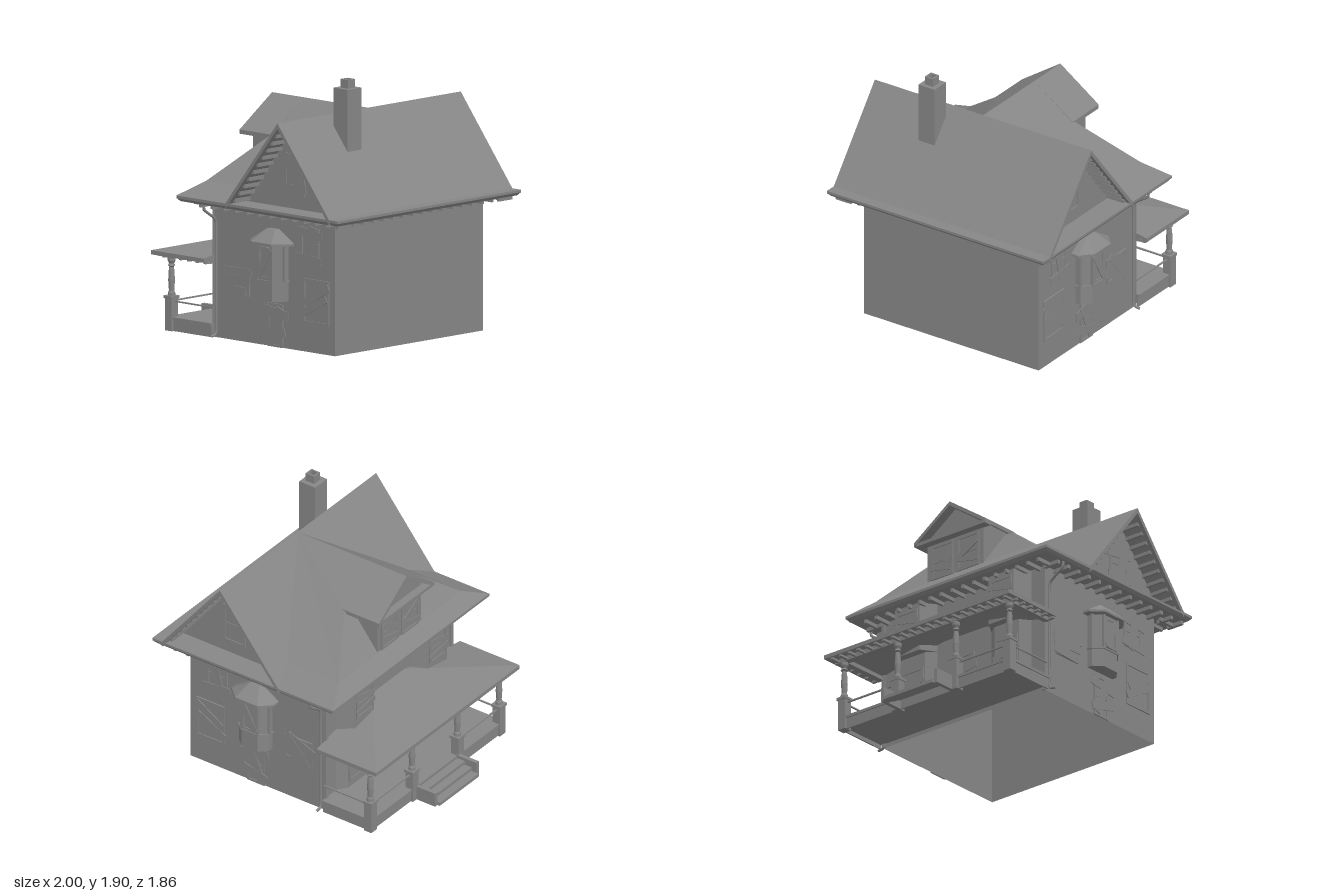
import * as THREE from 'three';
import { ConvexGeometry } from 'three/addons/geometries/ConvexGeometry.js';

const grey = new THREE.MeshStandardMaterial({ color: 0x868686, flatShading: true, side: THREE.DoubleSide });
const smooth = new THREE.MeshStandardMaterial({ color: 0x868686 });

function add(parent, name, geo, mat = grey) {
  const m = new THREE.Mesh(geo, mat);
  m.name = name;
  parent.add(m);
  return m;
}

// Box given by its limits on each axis
function box(parent, name, x0, x1, y0, y1, z0, z1) {
  const m = add(parent, name, new THREE.BoxGeometry(Math.abs(x1 - x0), Math.abs(y1 - y0), Math.abs(z1 - z0)));
  m.position.set((x0 + x1) / 2, (y0 + y1) / 2, (z0 + z1) / 2);
  return m;
}

// Roof panel: a top polygon, fanned from its first corner and thickened downwards
function slab(parent, name, pts, t = 0.03) {
  const v = pts.map(p => new THREE.Vector3(...p));
  const n = v[1].clone().sub(v[0]).cross(v[2].clone().sub(v[0]));
  if (n.y < 0) v.reverse().unshift(v.pop());
  const pos = [];
  const tri = (...ps) => ps.forEach(p => pos.push(p.x, p.y, p.z));
  const low = v.map(p => new THREE.Vector3(p.x, p.y - t, p.z));
  v.forEach((p, i) => {
    const j = (i + 1) % v.length;
    if (i > 0 && j > 0) {
      tri(v[0], p, v[j]);
      tri(low[0], low[j], low[i]);
    }
    tri(p, low[i], low[j]);
    tri(p, low[j], v[j]);
  });
  const g = new THREE.BufferGeometry();
  g.setAttribute('position', new THREE.Float32BufferAttribute(pos, 3));
  g.computeVertexNormals();
  return add(parent, name, g);
}

const hull = (parent, name, pts) =>
  add(parent, name, new ConvexGeometry(pts.map(p => new THREE.Vector3(...p))));

// Upright prism over a plan outline of [x, z] points
function prism(parent, name, plan, y0, y1) {
  const s = new THREE.Shape(plan.map(([x, z]) => new THREE.Vector2(x, -z)));
  const g = new THREE.ExtrudeGeometry(s, { depth: y1 - y0, bevelEnabled: false });
  return add(parent, name, g.rotateX(-Math.PI / 2).translate(0, y0, 0));
}

// Framed window facing local +z, with tilted planks [x, y, w, h, angle]
function windowUnit(parent, name, w, h, planks, pos, turn) {
  const g = new THREE.Group();
  g.name = name;
  const b = 0.018;
  box(g, 'pane', -w / 2, w / 2, -h / 2, h / 2, 0, 0.003);
  for (const s of [-1, 1]) {
    box(g, 'frameSide', s * w / 2, s * (w / 2 - b), -h / 2, h / 2, 0, 0.01);
    box(g, 'frameRail', -w / 2, w / 2, s * h / 2, s * (h / 2 - b), 0, 0.01);
  }
  box(g, 'crossBar', -w / 2, w / 2, -0.007, 0.007, 0, 0.008);
  planks.forEach(([x, y, pw, ph, a], i) => {
    const p = add(g, 'plank', new THREE.BoxGeometry(pw, ph, 0.006));
    p.position.set(x, y, 0.011 + i * 0.002);
    p.rotation.z = a;
  });
  g.position.set(...pos);
  g.rotation.y = turn;
  parent.add(g);
}

function buildRoof(house) {
  const roof = new THREE.Group();
  roof.name = 'roof';
  house.add(roof);
  // Eave all round, with a slightly raked fascia
  const eave = [];
  for (const s of [-1, 1]) {
    for (const y of [0.99, 1.008]) eave.push([-0.58, y, s * 0.93], [1, y, s * 0.93]);
    eave.push([-0.555, 0.968, s * 0.912], [0.98, 0.968, s * 0.912]);
  }
  hull(roof, 'eave', eave);
  // Main gable
  for (const [x, n] of [[0.915, 'rightSlope'], [-0.1, 'leftSlope']])
    slab(roof, n, [[0.41, 1.64, -0.93], [0.41, 1.64, 0.93], [x, 1.008, 0.93], [x, 1.008, -0.93]], 0.04);
  const attic = new THREE.Shape([[-0.085, 1], [0.905, 1], [0.41, 1.615]].map(p => new THREE.Vector2(...p)));
  add(roof, 'gableWalls', new THREE.ExtrudeGeometry(attic, { depth: 1.5, bevelEnabled: false }).translate(0, 0, -0.75));
  // Cross roof with flared foot
  for (const s of [-1, 1]) {
    slab(roof, 'dormerRoof', [[-0.54, 1.637, 0], [-0.22, 1.637, 0], [-0.22, 1.41, s * 0.33], [-0.54, 1.41, s * 0.33]]);
    slab(roof, 'crossSlope', [[0.41, 1.637, 0], [-0.03, 1.1, s * 0.73], [-0.48, 1.1, s * 0.73],
      [-0.24, 1.405, s * 0.33], [-0.24, 1.637, 0]]);
    slab(roof, 'crossFlare', [[-0.03, 1.1, s * 0.73], [-0.09, 1.008, s * 0.93], [-0.58, 1.008, s * 0.93], [-0.48, 1.1, s * 0.73]], 0.02);
  }
  slab(roof, 'hipSlope', [[-0.24, 1.405, -0.33], [-0.24, 1.405, 0.33], [-0.48, 1.1, 0.73], [-0.48, 1.1, -0.73]]);
  slab(roof, 'hipFlare', [[-0.48, 1.1, -0.73], [-0.48, 1.1, 0.73], [-0.58, 1.008, 0.93], [-0.58, 1.008, -0.93]], 0.02);
  // Dormer
  const d = [];
  for (const x of [-0.475, -0.2]) d.push([x, 1.04, -0.26], [x, 1.04, 0.26], [x, 1.42, -0.26], [x, 1.42, 0.26], [x, 1.6, 0]);
  hull(roof, 'dormerWalls', d);
  box(roof, 'dormerCornice', -0.535, -0.47, 1.38, 1.405, -0.32, 0.32);
  for (const s of [-1, 1])
    windowUnit(roof, 'dormerWindow', 0.2, 0.26, [[0, 0.02, 0.19, 0.04, 0.5 * s], [0, -0.06, 0.2, 0.035, -0.2]], [-0.475, 1.235, s * 0.12], -Math.PI / 2);
  // Rafter tails under the eaves
  for (const s of [-1, 1])
    for (let i = 0; i < 13; i++) {
      const x = -0.39 + i * 0.1115;
      box(roof, 'rafterTail', x - 0.012, x + 0.012, 0.94, 0.97, s * 0.75, s * 0.885);
    }
  for (let i = 0; i < 17; i++) {
    const z = -0.8 + i * 0.1;
    box(roof, 'rafterTail', 0.8, 0.945, 0.94, 0.97, z - 0.01, z + 0.01);
    box(roof, 'rafterTail', -0.52, -0.38, 0.94, 0.97, z - 0.01, z + 0.01);
  }
  // Blocks under the gable rakes
  for (const s of [-1, 1]) for (const side of [-1, 1])
    for (let i = 1; i < 11; i++) {
      const x = i * 0.045, y = 1.64 - x * 1.25 - 0.046;
      box(roof, 'rakeBlock', 0.41 + side * x - 0.011, 0.41 + side * x + 0.011, y - 0.013, y + 0.013, s * 0.75, s * 0.9);
    }
  // Chimney with open flue
  box(roof, 'chimney', 0.465, 0.605, 1.3, 1.84, 0.28, 0.42);
  const flue = new THREE.Shape([[0.5, -0.315], [0.575, -0.315], [0.575, -0.385], [0.5, -0.385]].map(p => new THREE.Vector2(...p)));
  flue.holes.push(new THREE.Path([[0.512, -0.327], [0.512, -0.373], [0.563, -0.373], [0.563, -0.327]].map(p => new THREE.Vector2(...p))));
  add(roof, 'flue', new THREE.ExtrudeGeometry(flue, { depth: 0.062, bevelEnabled: false }).rotateX(-Math.PI / 2).translate(0, 1.84, 0));
}

// Oriel, boarded windows and downspout of one gable side
function buildGableSide(house, s) {
  const g = new THREE.Group();
  g.name = s > 0 ? 'frontWall' : 'backWall';
  house.add(g);
  const ring = [[0.08, 0.75], [0.08, 0.79], [0.14, 0.85], [0.28, 0.85], [0.345, 0.79], [0.345, 0.75]].map(([x, z]) => [x, s * z]);
  prism(g, 'orielBody', ring, 0.34, 0.75);
  for (const [x, z] of ring.slice(1, 5)) box(g, 'orielPost', x - 0.01, x + 0.01, 0.48, 0.74, z - 0.01, z + 0.01);
  const wide = k => ring.map(([x, z]) => [0.2125 + (x - 0.2125) * k, s * (0.75 + (s * z - 0.75) * k)]);
  prism(g, 'orielSill', wide(1.08), 0.475, 0.487);
  hull(g, 'orielRoof', [...wide(1.4).flatMap(([x, z]) => [[x, 0.74, z], [x, 0.757, z]]), [0.17, 0.845, s * 0.75],
    [0.255, 0.845, s * 0.75], [0.17, 0.845, s * 0.79], [0.255, 0.845, s * 0.79]]);
  const turn = s > 0 ? 0 : Math.PI;
  const W = (name, x, y, w, h, planks, z = 0.75) =>
    windowUnit(g, name, w, h, planks.map(([a, b, c, d, r]) => [s * a, b, c, d, s * r]), [x, y, s * z], turn);
  W('leftWindow', -0.15, 0.42, 0.24, 0.19, s > 0
    ? [[0, 0.075, 0.29, 0.06, 0], [-0.01, 0.015, 0.28, 0.08, 0.02], [-0.03, -0.06, 0.24, 0.07, -0.06]]
    : [[0, 0, 0.25, 0.18, 0.4], [0, 0, 0.29, 0.04, 0.9]]);
  W('rightWindow', 0.62, 0.365, 0.25, 0.32, [[0.01, 0.05, 0.27, 0.06, 0.55], [-0.01, -0.03, 0.27, 0.05, 0.5]]);
  W('upperWindow', 0.56, 0.77, 0.18, 0.24, [[0, 0.08, 0.25, 0.06, -0.12], [0, 0, 0.07, 0.27, -0.25], [0, -0.1, 0.24, 0.05, -0.1]]);
  W('lowerWindow', 0.22, 0.155, 0.15, 0.31, [[0.01, 0.09, 0.25, 0.07, -0.15], [0, 0, 0.07, 0.28, -0.4], [0, -0.07, 0.22, 0.06, 0.25]]);
  W('orielWindow', 0.21, 0.61, 0.12, 0.23, [[0, 0, 0.05, 0.24, -0.5]], 0.85);
  W('gableWindow', 0.41, 1.25, 0.19, 0.3, s > 0 ? [[-0.01, 0.1, 0.25, 0.1, 0.12], [0.03, 0, 0.08, 0.28, -0.2], [0, -0.1, 0.24, 0.07, 0.1]] : []);
  const path = new THREE.CatmullRomCurve3([[0.89, 0.97], [0.885, 0.925], [0.78, 0.855], [0.762, 0.8], [0.762, 0.4], [0.762, 0.05], [0.775, 0.02], [0.82, 0.012]]
    .map(([pz, y]) => new THREE.Vector3(-0.35, y, s * pz)), false, 'catmullrom', 0.2);
  add(g, 'downspout', new THREE.TubeGeometry(path, 48, 0.01, 8), smooth);
  box(g, 'cornerBoard', -0.392, -0.38, 0, 0.96, s * 0.73, s * 0.757);
}

function buildPorch(house) {
  const p = new THREE.Group();
  p.name = 'porch';
  house.add(p);
  // Floor within a shallow skirting
  box(p, 'porchFloor', -0.81, -0.38, 0.08, 0.1, -0.79, 0.79);
  box(p, 'porchBase', -0.8, -0.38, 0.03, 0.08, -0.78, 0.78);
  box(p, 'frontSkirt', -0.8, -0.79, 0, 0.08, -0.78, 0.78);
  for (const s of [-1, 1]) box(p, 'sideSkirt', -0.8, -0.38, 0, 0.08, s * 0.77, s * 0.78);
  // Hipped roof
  slab(p, 'porchRoofFront', [[-0.9, 0.57, -0.855], [-0.9, 0.57, 0.855], [-0.38, 0.69, 0.19], [-0.38, 0.69, -0.19]]);
  box(p, 'frontBeam', -0.81, -0.76, 0.525, 0.56, -0.79, 0.79);
  for (let i = 0; i < 21; i++) {
    const z = -0.8 + i * 0.08;
    box(p, 'porchRafterTail', -0.885, -0.81, 0.528, 0.545, z - 0.01, z + 0.01);
  }
  const turned = [[0, 0.25], [0.026, 0.25], [0.026, 0.27], [0.019, 0.285], [0.024, 0.36], [0.02, 0.43], [0.016, 0.455],
    [0.026, 0.465], [0.018, 0.48], [0.028, 0.5], [0.028, 0.53], [0, 0.53]].map(v => new THREE.Vector2(...v));
  for (const s of [-1, 1]) {
    slab(p, 'porchRoofSide', [[-0.9, 0.57, s * 0.855], [-0.38, 0.57, s * 0.855], [-0.38, 0.69, s * 0.19]]);
    box(p, 'sideBeam', -0.8, -0.38, 0.525, 0.555, s * 0.745, s * 0.79);
    for (let i = 0; i < 6; i++) box(p, 'porchRafterTail', -0.8 + i * 0.08, -0.78 + i * 0.08, 0.528, 0.545, s * 0.79, s * 0.84);
    // Posts and rails
    for (const z of [0.765, 0.27]) {
      box(p, 'pedestal', -0.818, -0.752, 0, 0.235, s * z - 0.033, s * z + 0.033);
      box(p, 'pedestalCap', -0.825, -0.745, 0.23, 0.25, s * z - 0.04, s * z + 0.04);
      add(p, 'column', new THREE.LatheGeometry(turned, 16)).position.set(-0.785, 0, s * z);
    }
    box(p, 'frontRail', -0.791, -0.779, 0.206, 0.216, s * 0.3, s * 0.74);
    box(p, 'sideRail', -0.76, -0.38, 0.206, 0.216, s * 0.76, s * 0.77);
    box(p, 'stairCheek', -0.98, -0.8, 0, 0.108, s * 0.23, s * 0.26);
  }
  for (let i = 0; i < 3; i++) box(p, 'step', -1 + i * 0.06, -0.935 + i * 0.06, i * 0.03, 0.025 + i * 0.03, -0.232, 0.232);
}

export function createModel() {
  const house = new THREE.Group();
  house.name = 'house';
  // Hollow walls, open underneath (the fourth box face is the bottom)
  const walls = box(house, 'walls', -0.38, 0.8, 0, 0.975, -0.75, 0.75).geometry;
  walls.setIndex([...walls.index.array].filter((_, i) => i < 18 || i >= 24));
  buildRoof(house);
  for (const s of [1, -1]) {
    buildGableSide(house, s);
    // Canted bays on the porch side
    const bay = d => [[-0.38, s * 0.25], [-d, s * 0.32], [-d, s * 0.55], [-0.38, s * 0.62]];
    prism(house, 'lowerBay', bay(0.43), 0.1, 0.6);
    prism(house, 'upperBay', bay(0.49), 0.6, 0.97);
    windowUnit(house, 'lowerBayWindow', 0.21, 0.34, [[0, 0.05, 0.24, 0.05, 0.3], [0, -0.06, 0.23, 0.05, -0.2]], [-0.43, 0.32, s * 0.435], -Math.PI / 2);
    windowUnit(house, 'upperBayWindow', 0.2, 0.23, [[0, 0.04, 0.22, 0.04, -0.2], [0, -0.05, 0.22, 0.04, 0.15]], [-0.49, 0.81, s * 0.435], -Math.PI / 2);
  }
  windowUnit(house, 'frontDoor', 0.2, 0.4, [[0, 0.08, 0.25, 0.05, 0.15], [0, -0.06, 0.25, 0.05, -0.25]], [-0.38, 0.3, 0], -Math.PI / 2);
  buildPorch(house);
  return house;
}
